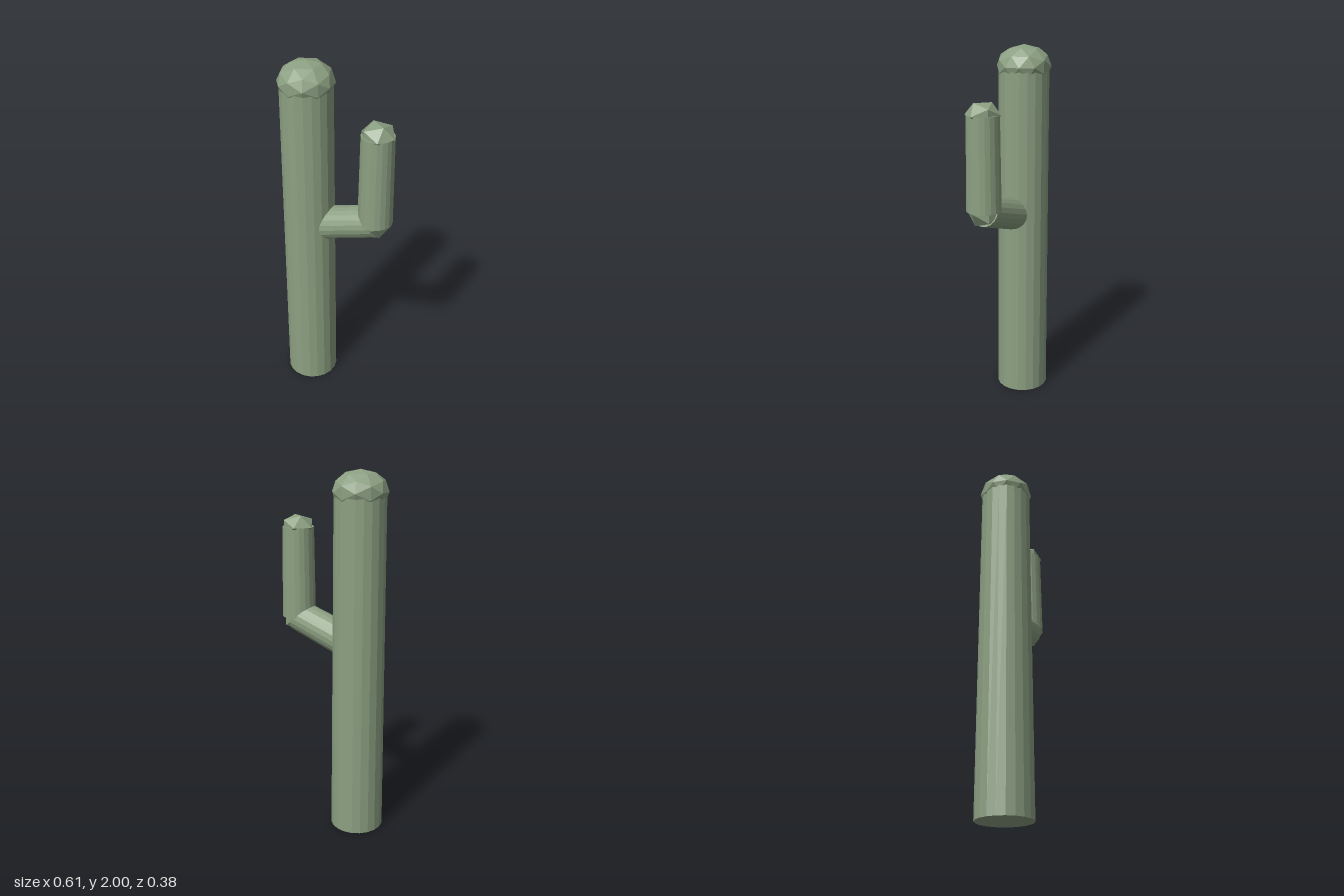
import * as THREE from 'three';

export function createModel() {
  const group = new THREE.Group();
  group.name = 'cactus';
  const green = new THREE.MeshStandardMaterial({ color: 0x8ca082, flatShading: true });
  green.name = 'cactusGreen';

  const add = (name, geometry) => {
    const mesh = new THREE.Mesh(geometry, green);
    mesh.name = name;
    group.add(mesh);
    return mesh;
  };

  // Tapered round limb running from one point to another
  const limb = (name, from, to, r0, r1) => {
    const dir = to.clone().sub(from);
    const mesh = add(name, new THREE.CylinderGeometry(r1, r0, dir.length(), 20));
    mesh.position.copy(from).addScaledVector(dir, 0.5);
    mesh.quaternion.setFromUnitVectors(new THREE.Vector3(0, 1, 0), dir.normalize());
  };

  // Faceted ball, optionally flattened and turned
  const ball = (name, at, r, detail, squash, turn) => {
    const mesh = add(name, new THREE.IcosahedronGeometry(r, detail));
    mesh.position.copy(at);
    mesh.scale.y = squash;
    mesh.rotation.y = turn;
  };

  const base = new THREE.Vector3(-0.157, 0, -0.045);
  const top = new THREE.Vector3(-0.157, 1.889, -0.045);
  const armRoot = new THREE.Vector3(-0.157, 1.06, -0.045);
  const elbow = new THREE.Vector3(0.21, 1.184, 0.097);
  const armTop = new THREE.Vector3(0.21, 1.683, 0.097);
  const armTurn = -THREE.MathUtils.degToRad(58);

  // Trunk with its domed cap
  limb('trunk', base, top, 0.148, 0.137);
  ball('trunkCap', top, 0.148, 1, 0.75, 0);

  // Bent side arm
  limb('armBranch', armRoot, elbow, 0.093, 0.087);
  ball('armElbow', elbow, 0.094, 0, 1, armTurn);
  limb('armUpright', elbow, armTop, 0.093, 0.086);
  ball('armCap', armTop, 0.094, 0, 0.75, armTurn);

  return group;
}
